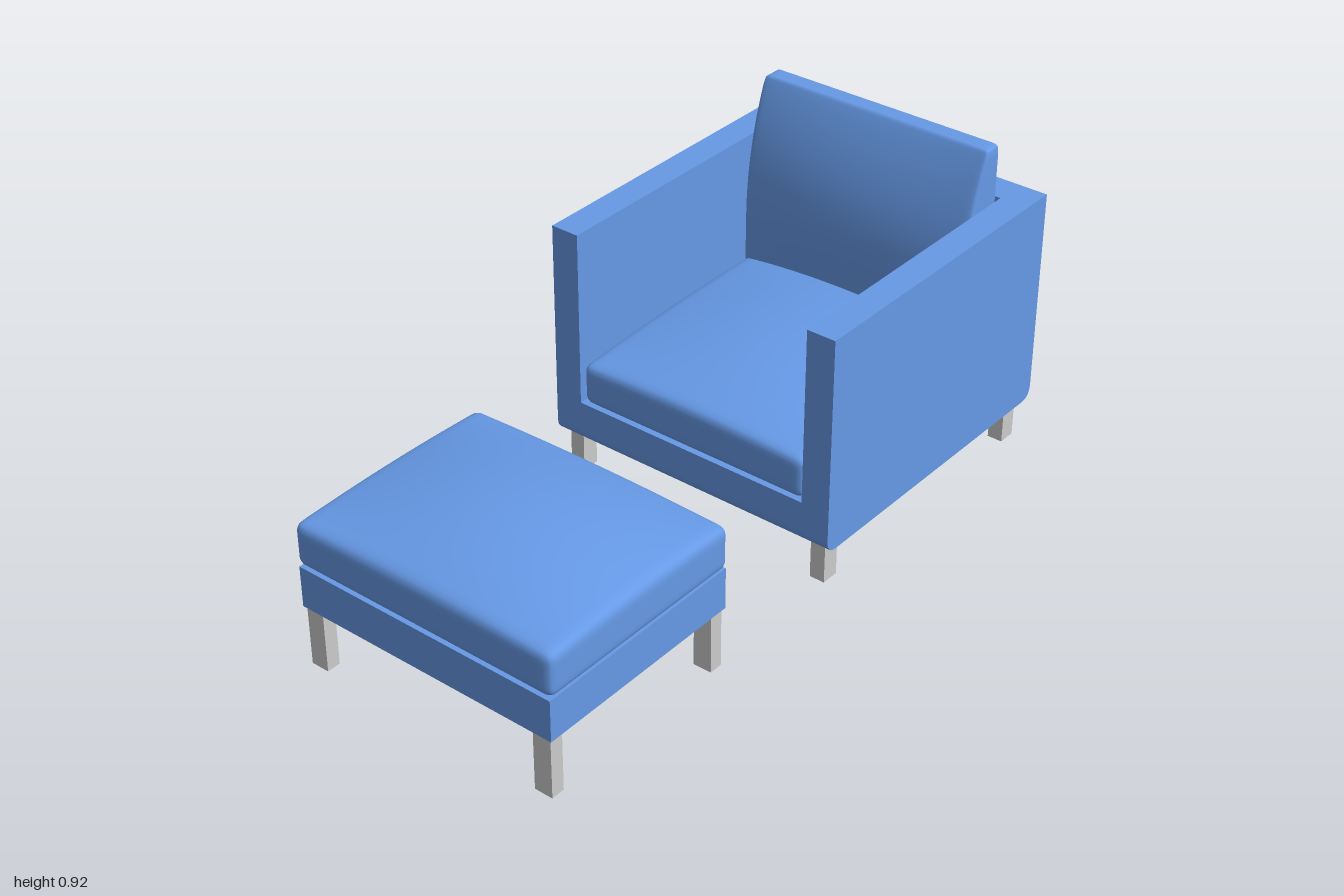
import * as THREE from 'three';
import { mergeVertices, toCreasedNormals } from 'three/addons/utils/BufferGeometryUtils.js';

const fabric = new THREE.MeshStandardMaterial({ color: 0x6699e6 });
const grey = new THREE.MeshStandardMaterial({ color: 0xcccccc });

function add(parent, name, geometry, material, x = 0, y = 0, z = 0) {
  const mesh = new THREE.Mesh(geometry, material);
  mesh.name = name;
  mesh.position.set(x, y, z);
  parent.add(mesh);
  return mesh;
}

// Rounded box with a fine grid; rule(p, u, v, t) reshapes it, u, v, t being -1..1 along x, y, z
function softBox(w, h, d, r, rule) {
  const g = new THREE.BoxGeometry(2, 2, 2, 28, 14, 28);
  g.deleteAttribute('normal');
  g.deleteAttribute('uv');
  const pos = g.attributes.position;
  const half = new THREE.Vector3(w / 2, h / 2, d / 2);
  const core = half.clone().subScalar(r);
  const p = new THREE.Vector3();
  const inner = new THREE.Vector3();
  const ease = (s) => Math.sin(s * Math.PI / 2); // crowds the grid towards the edges
  for (let i = 0; i < pos.count; i++) {
    p.fromBufferAttribute(pos, i);
    p.set(ease(p.x), ease(p.y), ease(p.z)).multiply(half);
    inner.copy(p).clamp(core.clone().negate(), core);
    p.sub(inner).setLength(r).add(inner);
    rule(p, p.x / half.x, p.y / half.y, p.z / half.z);
    pos.setXYZ(i, p.x, p.y, p.z);
  }
  const merged = mergeVertices(g, 1e-5);
  merged.computeVertexNormals();
  return merged;
}

// Seat cushion with a domed top; fall sets how far the dome drops at the edges
function cushion(w, h, d, crown, fall) {
  return softBox(w, h, d, 0.025, (p, u, v, t) => {
    p.y += crown * (v + 1) / 2 * (1 - fall * u * u) * (1 - fall * t * t);
  });
}

// Side profile (z, y) swept across x, centred on x = 0
function sweep(shape, width) {
  const g = new THREE.ExtrudeGeometry(shape, { depth: width, bevelEnabled: false, curveSegments: 8 });
  g.rotateY(-Math.PI / 2).translate(width / 2, 0, 0);
  return toCreasedNormals(g, 0.6);
}

// Lower edge shared by arms and frame: rounded at front and back
const FRONT = -0.045, BACK = -1, BOTTOM = 0.115, TOP = 0.755, R = 0.04;
function profile(upper) {
  const s = new THREE.Shape();
  s.moveTo(BACK + R, BOTTOM);
  s.lineTo(FRONT - R, BOTTOM);
  s.quadraticCurveTo(FRONT, BOTTOM, FRONT, BOTTOM + R);
  upper.forEach(([z, y]) => s.lineTo(z, y));
  s.lineTo(BACK, BOTTOM + R);
  s.quadraticCurveTo(BACK, BOTTOM, BACK + R, BOTTOM);
  return s;
}

function addLegs(parent, xs, zs, w, h, d) {
  for (const x of xs) for (const z of zs) {
    add(parent, 'leg', new THREE.BoxGeometry(w, h, d), grey, x, h / 2, z);
  }
}

function createArmchair() {
  const chair = new THREE.Group();
  chair.name = 'armchair';

  // Arms
  const arm = sweep(profile([[FRONT, TOP], [BACK, TOP]]), 0.085);
  add(chair, 'leftArm', arm, fabric, 0.4125);
  add(chair, 'rightArm', arm, fabric, -0.4125);

  // Seat base and back panel in one L-shaped section
  const frame = profile([[FRONT, 0.24], [-0.905, 0.24], [-0.905, TOP], [BACK, TOP]]);
  add(chair, 'seatAndBackFrame', sweep(frame, 0.74), fabric);

  // Seat cushion, slightly higher at the back
  const seat = add(chair, 'seatCushion', cushion(0.732, 0.12, 0.85, 0.055, 0.75), fabric, 0, 0.305, -0.475);
  seat.rotation.x = 0.02;

  // Back cushion: thick below, narrowing to the top, with a bulging front
  const back = softBox(0.73, 0.56, 0.15, 0.015, (p, u, v, t) => {
    const frontness = (t + 1) / 2;
    const rise = Math.max(0, (v + 0.5) / 1.5);
    p.z += frontness * (0.02 * (1 - u * u) * (1 - v * v) - 0.085 * rise ** 2.2);
    p.z += (1 - frontness) * 0.01 * rise;
  });
  add(chair, 'backCushion', back, fabric, 0, 0.64, -0.825);

  addLegs(chair, [-0.408, 0.408], [-0.097, -0.937], 0.045, 0.12, 0.053);
  return chair;
}

function createFootstool() {
  const stool = new THREE.Group();
  stool.name = 'footstool';
  stool.position.set(0.036, 0, 0.676);
  add(stool, 'stoolBase', new THREE.BoxGeometry(0.805, 0.12, 0.642), fabric, 0, 0.237, 0);
  add(stool, 'stoolCushion', cushion(0.82, 0.125, 0.648, 0.062, 0.88), fabric, 0, 0.3625, 0);
  addLegs(stool, [-0.368, 0.368], [-0.295, 0.295], 0.054, 0.18, 0.04);
  return stool;
}

export function createModel() {
  const model = new THREE.Group();
  model.name = 'armchairAndFootstool';
  model.add(createArmchair(), createFootstool());
  return model;
}
